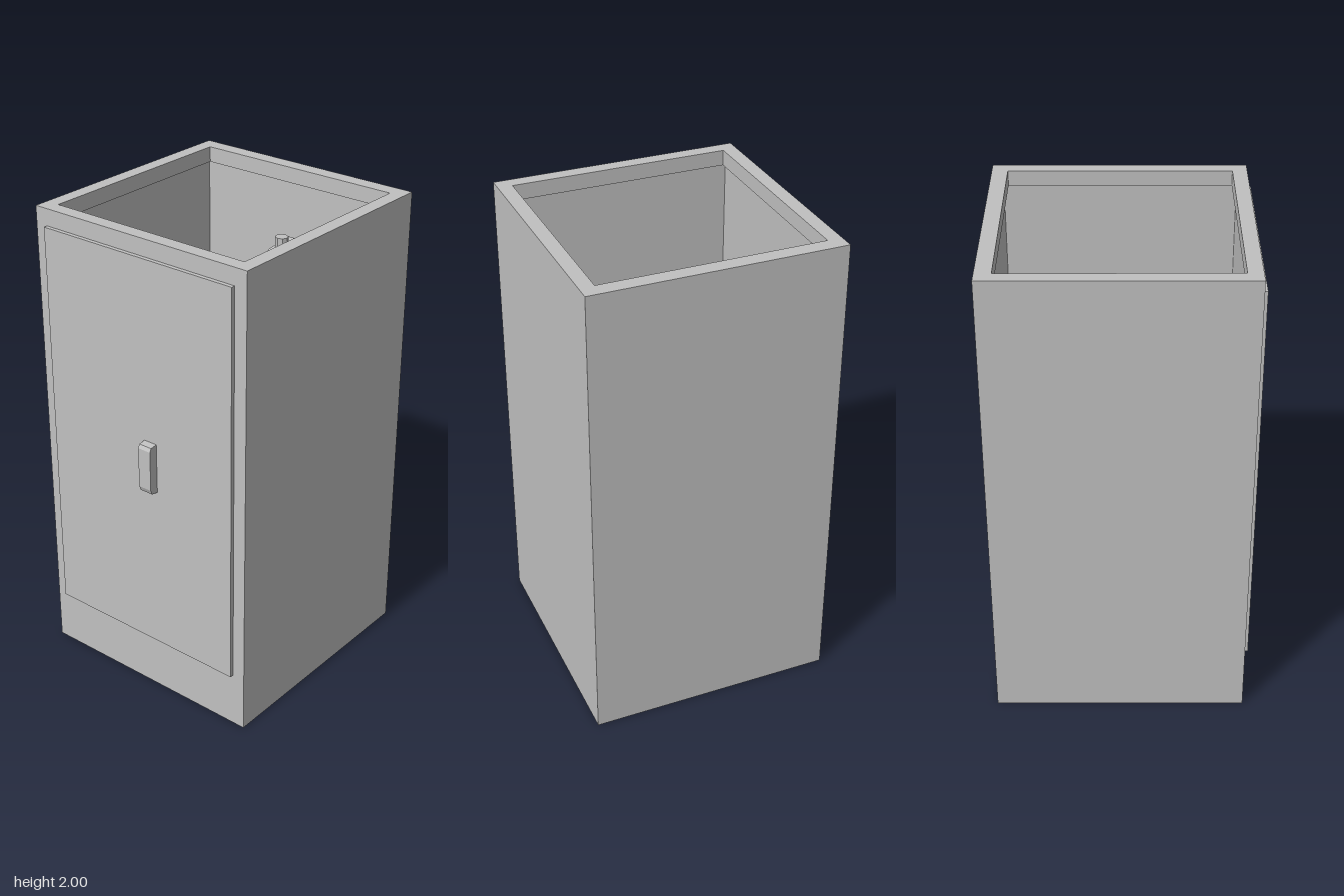
import * as THREE from 'three';

const grey = new THREE.MeshStandardMaterial({ color: 0xc0c0c0, side: THREE.DoubleSide });
grey.name = 'plain grey';

function part(name, geometry) {
  const mesh = new THREE.Mesh(geometry, grey);
  mesh.name = name;
  return mesh;
}

function box(name, x0, x1, y0, y1, z0, z1) {
  const g = new THREE.BoxGeometry(x1 - x0, y1 - y0, z1 - z0);
  g.translate((x0 + x1) / 2, (y0 + y1) / 2, (z0 + z1) / 2);
  return part(name, g);
}

const rect = (x0, x1, z0, z1) => [[x0, z0], [x1, z0], [x1, z1], [x0, z1]];
const toPoints = (pts, sign) => pts.map(([a, b]) => new THREE.Vector2(a, sign * b));

// Horizontal slab between two heights with a hole; points are [x, z]
function frame(name, outer, hole, y0, y1) {
  const shape = new THREE.Shape(toPoints(outer, -1));
  shape.holes.push(new THREE.Path(toPoints(hole, -1)));
  const g = new THREE.ExtrudeGeometry(shape, { depth: y1 - y0, bevelEnabled: false });
  g.rotateX(-Math.PI / 2);
  g.translate(0, y0, 0);
  return part(name, g);
}

// Side profile of [z, y] points, extruded across x
function profile(name, pts, width, x = 0) {
  const shape = new THREE.Shape(toPoints(pts, 1));
  const g = new THREE.ExtrudeGeometry(shape, { depth: width, bevelEnabled: false });
  g.rotateY(-Math.PI / 2);
  g.translate(x + width / 2, 0, 0);
  return part(name, g);
}

// Sloping walls joining two loops of [x, z] points, facing inwards
function slopedWalls(name, top, y1, bottom, y0) {
  const pos = [];
  top.forEach((p, i) => {
    const j = (i + 1) % top.length;
    const a = [p[0], y1, p[1]], b = [top[j][0], y1, top[j][1]];
    const c = [bottom[j][0], y0, bottom[j][1]], d = [bottom[i][0], y0, bottom[i][1]];
    pos.push(...a, ...d, ...c, ...a, ...c, ...b);
  });
  const g = new THREE.BufferGeometry();
  g.setAttribute('position', new THREE.Float32BufferAttribute(pos, 3));
  g.computeVertexNormals();
  return part(name, g);
}

export function createModel() {
  const model = new THREE.Group();
  model.name = 'sinkCabinet';
  const counterY = 1.4, basinY = 1.12, lipY = 1.935;

  // Cabinet shell: floor, thin walls and a thicker lip around the top
  const outer = rect(-0.515, 0.515, -0.545, 0.49);
  const inner = rect(-0.475, 0.475, -0.5, 0.45);
  model.add(
    box('floor', -0.515, 0.515, 0, 0.04, -0.545, 0.49),
    frame('walls', outer, inner, 0.04, lipY),
    frame('topLip', outer, rect(-0.455, 0.455, -0.48, 0.43), lipY, 2)
  );

  // Door and its upright handle
  model.add(
    box('door', -0.46, 0.46, 0.24, 1.93, 0.485, 0.507),
    profile('doorHandle', [[0.5, 0.96], [0.537, 0.965], [0.545, 0.985],
      [0.545, 1.155], [0.537, 1.17], [0.5, 1.175]], 0.06, 0.06)
  );

  // Sunken counter and basin with one cut corner
  const rim = [[-0.41, -0.43], [0.185, -0.43], [0.41, -0.21], [0.41, 0.385], [-0.41, 0.385]];
  const base = [[-0.385, -0.41], [0.17, -0.41], [0.385, -0.205], [0.385, 0.355], [-0.385, 0.355]];
  const floor = new THREE.ShapeGeometry(new THREE.Shape(toPoints(base, -1)));
  floor.rotateX(-Math.PI / 2);
  floor.translate(0, basinY, 0);
  model.add(
    frame('counter', inner, rim, counterY - 0.03, counterY),
    slopedWalls('basinWalls', rim, counterY, base, basinY),
    part('basinFloor', floor)
  );

  // Tap: arched spout, flared nozzle, knob and two side arms
  const tap = new THREE.Group();
  tap.name = 'tap';
  tap.add(
    profile('spout', [[-0.48, counterY], [-0.48, 1.7], [-0.355, 1.68], [-0.28, 1.64],
      [-0.22, 1.57], [-0.195, 1.5], [-0.265, 1.5], [-0.29, 1.56], [-0.335, 1.59],
      [-0.36, 1.56], [-0.36, counterY]], 0.08),
    profile('nozzle', [[-0.285, 1.45], [-0.14, 1.45], [-0.165, 1.51], [-0.285, 1.51]], 0.145)
  );
  const knob = part('knob', new THREE.CylinderGeometry(0.028, 0.028, 0.06, 8).toNonIndexed());
  knob.geometry.computeVertexNormals();
  knob.position.set(0, 1.705, -0.39);
  tap.add(knob);
  for (const s of [-1, 1]) {
    const [a, b, c] = s > 0 ? [0.04, 0.12, 0.163] : [-0.04, -0.12, -0.163];
    tap.add(
      box('tapArm', Math.min(a, b), Math.max(a, b), counterY, 1.51, -0.478, -0.4),
      box('tapArmEnd', Math.min(b, c), Math.max(b, c), counterY, 1.54, -0.475, -0.405)
    );
  }
  model.add(tap);
  return model;
}
